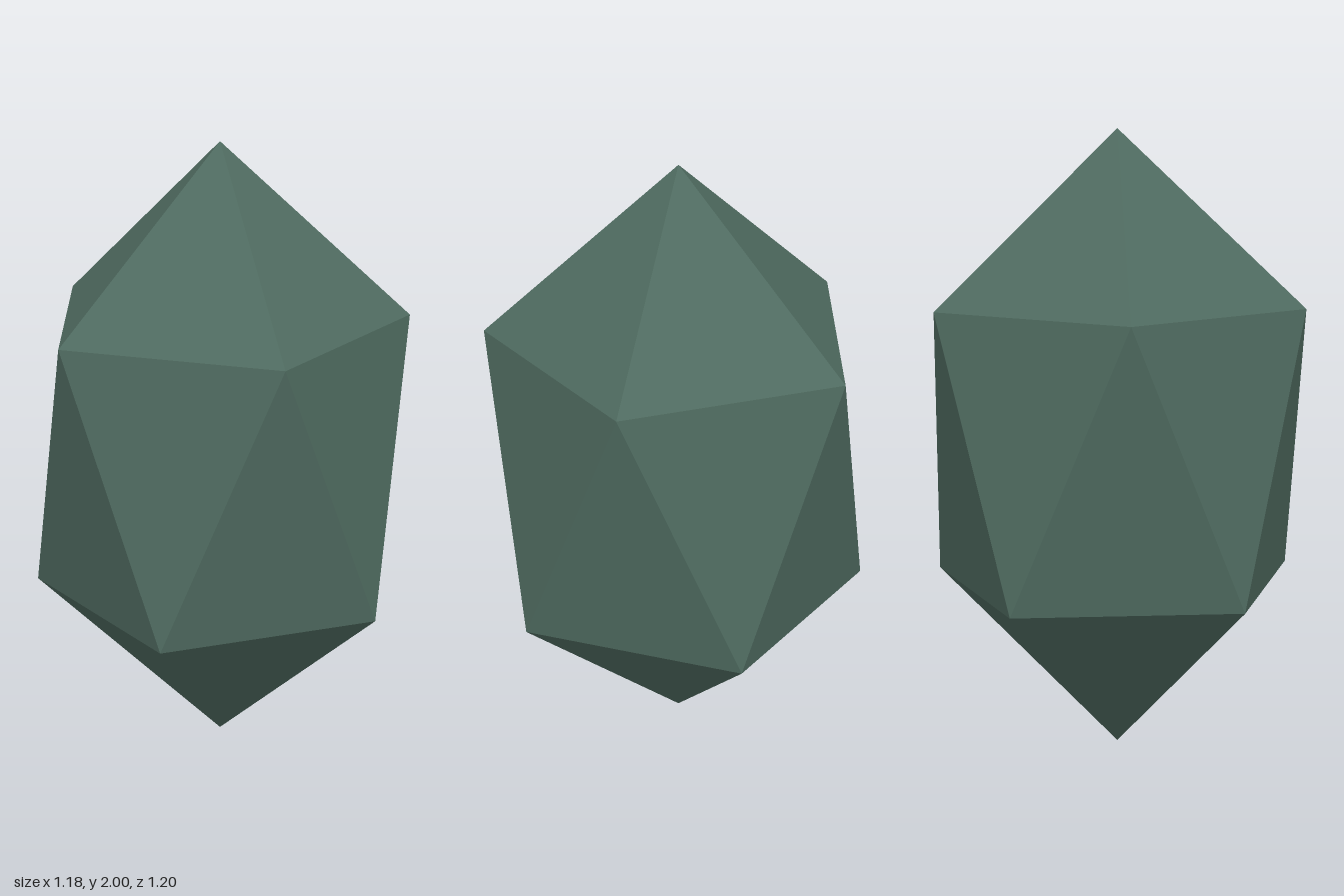
import * as THREE from 'three';

// Tall twenty-sided crystal: two twisted five-point rings between two tips.
function crystalGeometry() {
  const ring = (y, turn) => Array.from({ length: 5 }, (_, i) => {
    const a = (i + turn) * Math.PI * 2 / 5;
    return [0.609 * Math.cos(a), y, 0.597 * Math.sin(a)];
  });
  const top = [0, 2, 0], bottom = [0, 0, 0];
  const upper = ring(1.447, 0), lower = ring(0.553, 0.5);
  const corners = [];
  for (let i = 0; i < 5; i++) {
    const j = (i + 1) % 5;
    corners.push(top, upper[j], upper[i]);          // crown
    corners.push(upper[i], upper[j], lower[i]);     // waist, pointing down
    corners.push(lower[i], upper[j], lower[j]);     // waist, pointing up
    corners.push(bottom, lower[i], lower[j]);       // base
  }
  const geometry = new THREE.BufferGeometry();
  geometry.setAttribute('position', new THREE.Float32BufferAttribute(corners.flat(), 3));
  geometry.rotateY(THREE.MathUtils.degToRad(62));
  geometry.computeVertexNormals();
  return geometry;
}

export function createModel() {
  const group = new THREE.Group();
  group.name = 'crystal';
  const stone = new THREE.MeshStandardMaterial({ color: 0x4f6b60 });
  stone.name = 'dark green stone';
  stone.flatShading = true;
  const body = new THREE.Mesh(crystalGeometry(), stone);
  body.name = 'crystalBody';
  group.add(body);
  return group;
}
